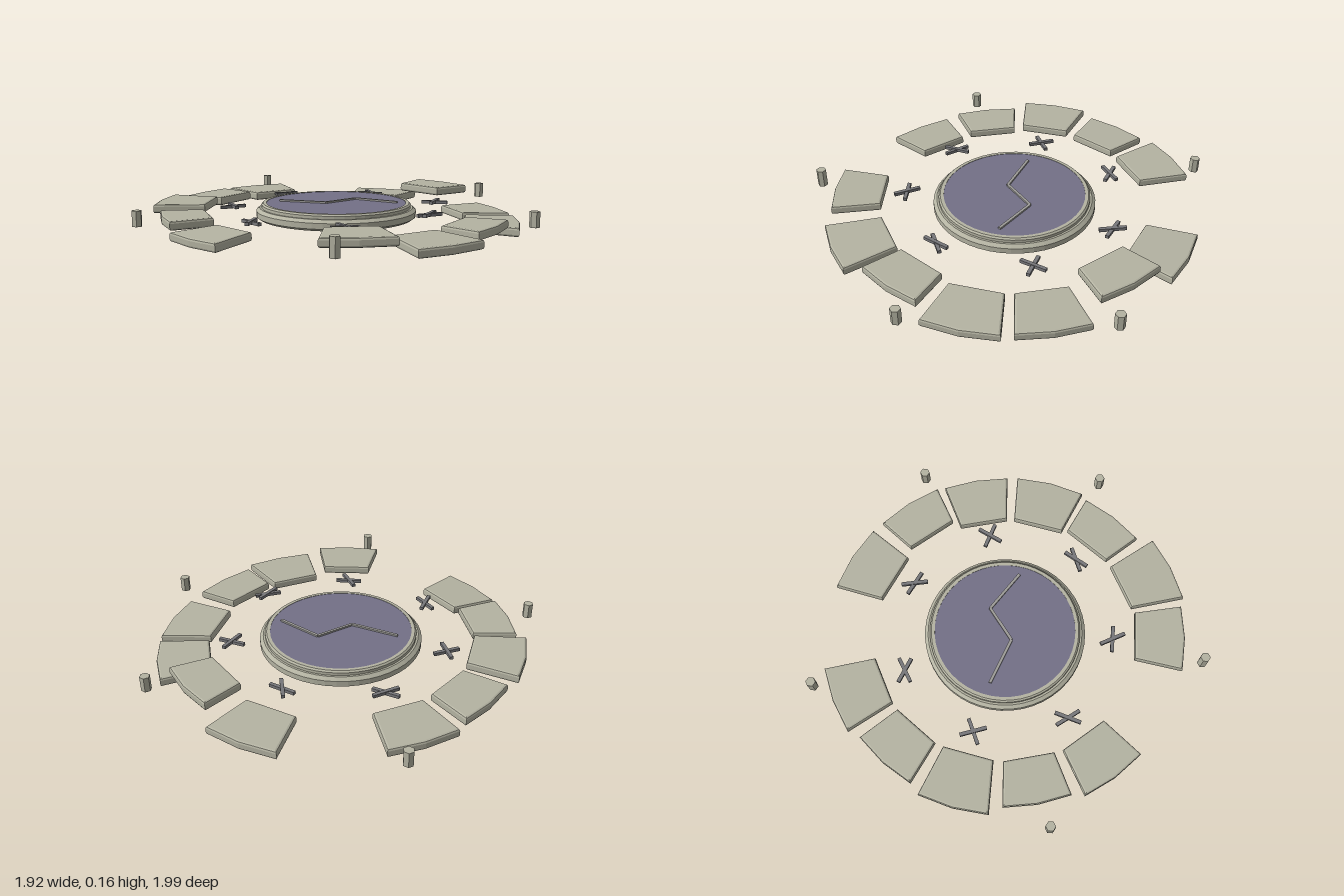
import * as THREE from 'three';

const CX = 0.03, CZ = -0.03; // centre of the circle of slabs
const mat = (color, flatShading = true) => new THREE.MeshStandardMaterial({ color, flatShading });

export function createModel() {
  const root = new THREE.Group();
  const stone = mat(0xb4b3a2), dark = mat(0x737087), iron = mat(0x77777a), pale = mat(0x9c9b97);

  const add = (parent, name, geometry, material, x = 0, y = 0, z = 0) => {
    const m = new THREE.Mesh(geometry, material);
    m.name = name;
    m.position.set(x, y, z);
    parent.add(m);
    return m;
  };

  // bar lying flat between two points of the ground plane
  const bar = (parent, name, a, b, y, w, h, material) => {
    const dx = b[0] - a[0], dz = b[1] - a[1];
    const m = add(parent, name, new THREE.BoxGeometry(Math.hypot(dx, dz), h, w), material,
      (a[0] + b[0]) / 2, y, (a[1] + b[1]) / 2);
    m.rotation.y = -Math.atan2(dz, dx);
  };

  // central stone plinth with a stepped, bevelled rim
  const profile = [[0, 0.05], [0.39, 0.05], [0.407, 0.062], [0.407, 0.09], [0.39, 0.105],
    [0.38, 0.105], [0.38, 0.12], [0.372, 0.128], [0.355, 0.128], [0.355, 0.12]]
    .map(([r, y]) => new THREE.Vector2(r, y));
  add(root, 'plinth', new THREE.LatheGeometry(profile, 48), stone, CX, 0, CZ);

  // dark face set into the plinth
  add(root, 'darkDisc', new THREE.CylinderGeometry(0.356, 0.356, 0.02, 48), dark, CX, 0.116, CZ);

  // zigzag crack across the face
  const crack = [[-0.255, -0.09], [-0.025, 0.005], [0.14, -0.11], [0.335, 0.03]];
  for (let i = 0; i < 3; i++) bar(root, 'crack', crack[i], crack[i + 1], 0.129, 0.014, 0.012, pale);

  // wedge slabs in fourteen slots, two of them empty
  const thick = 0.045, bevel = 0.011, mid = 0.79;
  const slabGeometry = (rOut, half) => {
    const p = (r, a) => new THREE.Vector2(r * Math.cos(a) - mid, r * Math.sin(a));
    const shape = new THREE.Shape([p(0.667, -half), p(rOut, -half), p(rOut, 0), p(rOut, half), p(0.667, half)]);
    const g = new THREE.ExtrudeGeometry(shape, {
      depth: thick - 2 * bevel, bevelThickness: bevel, bevelSize: bevel, bevelOffset: -bevel, bevelSegments: 2,
    });
    return g.translate(0, 0, bevel).rotateX(-Math.PI / 2);
  };
  // slot, outer radius, half angle, top height, outward tilt
  const slabs = [
    [-3, 0.92, 0.2, 0.07, 0.02], [-2, 0.877, 0.2, 0.147, 0], [-1, 0.92, 0.19, 0.053, 0.02],
    [0, 0.925, 0.2, 0.05, 0.03], [1, 0.877, 0.2, 0.095, 0], [2, 0.945, 0.19, 0.08, 0.02],
    [3, 0.908, 0.188, 0.128, 0], [5, 0.91, 0.19, 0.075, 0.05], [6, 0.885, 0.19, 0.105, 0],
    [7, 0.925, 0.19, 0.122, 0], [8, 0.893, 0.19, 0.108, 0.02], [9, 0.925, 0.188, 0.1, 0],
  ];
  for (const [slot, rOut, half, top, tilt] of slabs) {
    const a = (slot + 0.5) * Math.PI / 7;
    const m = add(root, 'slab', slabGeometry(rOut, half), stone,
      CX + mid * Math.cos(a), top - thick, CZ + mid * Math.sin(a));
    m.rotation.set(0, -a, -tilt);
  }

  // crossed bars between plinth and slabs: x, z, height, two directions
  const crosses = [
    [-0.2, -0.52, 0.095, 0.41, -0.51], [0.275, -0.51, 0.095, 0.48, 1.4],
    [-0.495, -0.16, 0.09, -0.39, 1.26], [0.565, -0.135, 0.1, 0.34, -1.07],
    [-0.405, 0.3, 0.09, 0.96, -1.24], [0.44, 0.32, 0.115, -0.35, -1.0],
    [0.013, 0.515, 0.1, 0.04, 1.11],
  ];
  for (const [x, z, y, ...dirs] of crosses) {
    const g = new THREE.Group();
    g.name = 'crossMark';
    g.position.set(x, y, z);
    dirs.forEach((d, i) => {
      const c = 0.068 * Math.cos(d), s = 0.068 * Math.sin(d);
      bar(g, 'crossBar', [-c, -s], [c, s], i * 0.004, 0.018, 0.016, iron);
    });
    root.add(g);
  }

  // small hexagonal posts outside the ring
  const posts = [[-0.295, -0.972], [0.907, -0.505], [-0.94, 0.23], [0.915, 0.437], [-0.082, 0.97]];
  posts.forEach(([x, z], i) => {
    const h = i === 4 ? 0.09 : 0.076;
    add(root, 'post', new THREE.CylinderGeometry(0.025, 0.025, h, 6), stone, x, 0.068 + h / 2, z);
  });

  return root;
}
